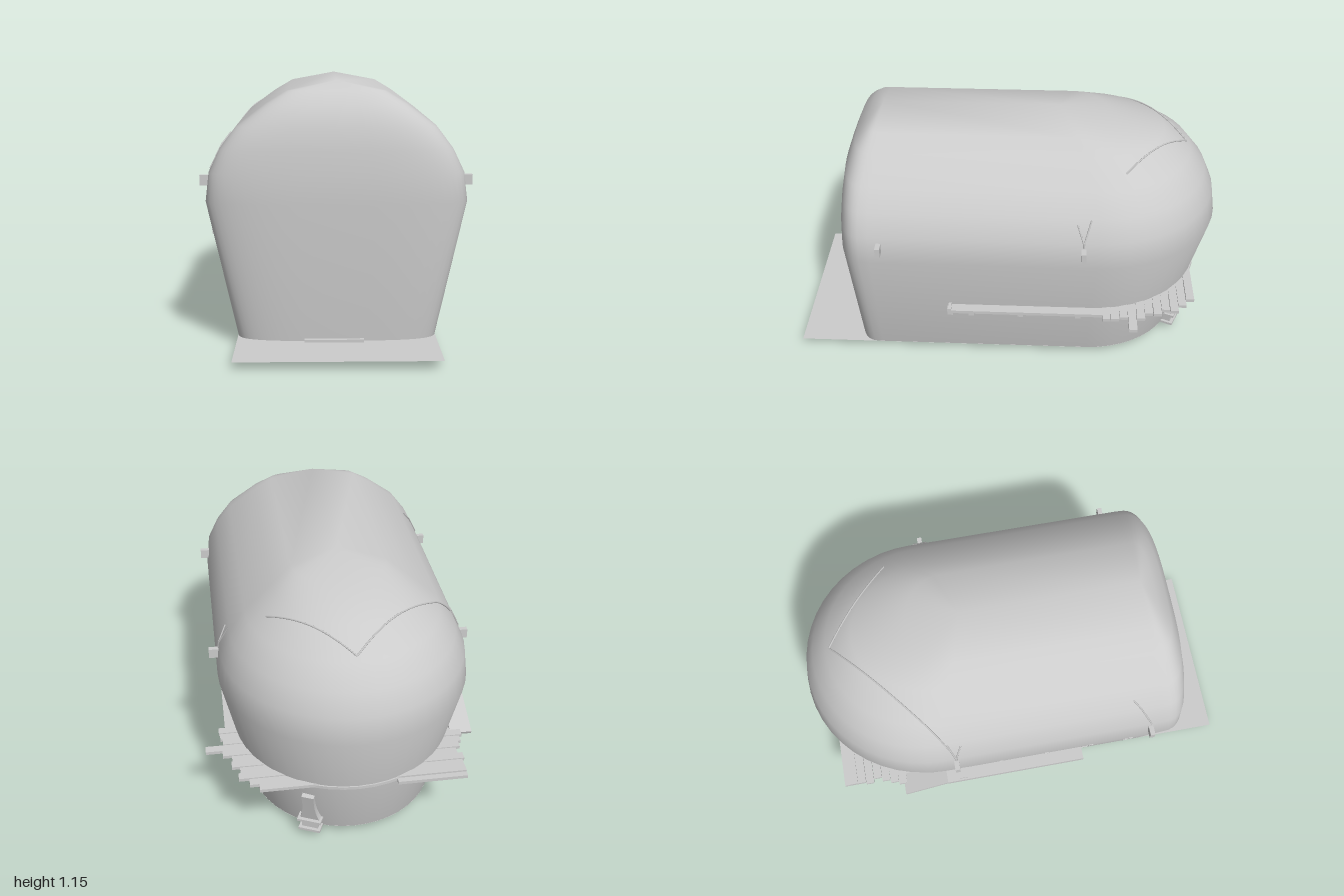
import * as THREE from 'three';
import { toCreasedNormals } from 'three/addons/utils/BufferGeometryUtils.js';

const CX = -0.025;
const mat = new THREE.MeshStandardMaterial({ color: 0xcccccc, side: THREE.DoubleSide });

// Hull levels: y, half width, back end, back arc centre, front end, front arc centre
const LEVELS = [
  [0.035, 0.433, -0.85, -0.40, 0.73, 0.60],
  [0.635, 0.565, -1.0, -0.42, 0.77, 0.60],
  [0.76, 0.55, -0.98, -0.42, 0.765, 0.60],
  [0.86, 0.502, -0.935, -0.42, 0.755, 0.60],
  [0.955, 0.43, -0.86, -0.40, 0.74, 0.59],
  [1.05, 0.303, -0.73, -0.36, 0.70, 0.58],
  [1.105, 0.213, -0.48, -0.30, 0.645, 0.58],
  [1.148, 0, -0.24, -0.24, 0.58, 0.58],
];

function levelAt(y) {
  let i = 0;
  while (i < LEVELS.length - 2 && y > LEVELS[i + 1][0]) i++;
  const a = LEVELS[i], b = LEVELS[i + 1], t = (y - a[0]) / (b[0] - a[0]);
  return a.map((v, k) => v + (b[k] - v) * t);
}

// Plan outline: elliptical back, straight sides, squarish front
function outline([, w, zb, zc, zf, fc], n = 24) {
  const pts = [];
  for (let i = 0; i <= n; i++) {
    const t = Math.PI * i / n;
    pts.push([CX + w * Math.cos(t), zc - (zc - zb) * Math.sin(t)]);
  }
  for (let i = 0; i <= n; i++) {
    const t = Math.PI * i / n, c = -Math.cos(t);
    pts.push([CX + w * Math.sign(c) * Math.abs(c) ** 0.6, fc + (zf - fc) * Math.abs(Math.sin(t)) ** 0.6]);
  }
  return pts;
}

function halfWidthAt(y, z) {
  const [, w, zb, zc, zf, fc] = levelAt(y);
  const u = z < zc ? (zc - z) / (zc - zb) : z > fc ? (z - fc) / (zf - fc) : 0;
  if (u >= 1) return 0;
  return z < zc ? w * Math.sqrt(1 - u * u) : w * (1 - u ** 3.33) ** 0.3;
}

// Roof height over a plan position
function roofY(x, z) {
  let lo = 0.635, hi = 1.147;
  for (let i = 0; i < 24; i++) {
    const m = (lo + hi) / 2;
    if (Math.abs(x - CX) < halfWidthAt(m, z)) lo = m; else hi = m;
  }
  return lo;
}

function hullGeometry() {
  const pos = [], index = [], rows = LEVELS.length;
  let n = 0;
  LEVELS.forEach((l) => {
    const ring = outline(l);
    n = ring.length;
    ring.forEach(([x, z]) => pos.push(x, l[0], z));
  });
  for (let j = 0; j < rows - 1; j++) {
    for (let i = 0; i < n; i++) {
      const a = j * n + i, b = j * n + (i + 1) % n;
      index.push(a, a + n, b, b, a + n, b + n);
    }
  }
  const g = new THREE.BufferGeometry();
  g.setAttribute('position', new THREE.Float32BufferAttribute(pos, 3));
  g.setIndex(index);
  // corner order is flipped so that the faces look outward
  for (let i = 0; i < index.length; i += 3) [index[i], index[i + 1]] = [index[i + 1], index[i]];
  g.setIndex(index);
  return toCreasedNormals(g, 0.75);
}

export function createModel() {
  const root = new THREE.Group();
  const add = (name, geo, x = 0, y = 0, z = 0, parent = root) => {
    const m = new THREE.Mesh(geo, mat);
    m.name = name;
    m.position.set(x, y, z);
    parent.add(m);
    return m;
  };
  const box = (name, x0, x1, y0, y1, z0, z1) => add(name,
    new THREE.BoxGeometry(Math.abs(x1 - x0), y1 - y0, z1 - z0), (x0 + x1) / 2, (y0 + y1) / 2, (z0 + z1) / 2);

  // Domed body, made outward facing
  const hull = hullGeometry();
  const p = hull.attributes.position, nn = hull.attributes.normal;
  let outward = 0;
  for (let i = 0; i < p.count; i++) outward += (p.getX(i) - CX) * nn.getX(i);
  if (outward < 0) {
    hull.scale(-1, 1, 1).translate(2 * CX, 0, 0);
    for (let i = 0; i < nn.count; i++) nn.setXYZ(i, -nn.getX(i), -nn.getY(i), -nn.getZ(i));
  }
  add('domedBody', hull);

  // Floor that runs out to a flat apron at the front
  const back = outline(LEVELS[0]).slice(0, 25).map(([x, z]) => new THREE.Vector2(x, z));
  back.push(new THREE.Vector2(CX - 0.433, 1), new THREE.Vector2(CX + 0.433, 1));
  add('floorAndApron', new THREE.ShapeGeometry(new THREE.Shape(back)).rotateX(Math.PI / 2), 0, 0.034, 0);
  box('doorSill', -0.165, 0.09, 0.03, 0.046, 0.70, 0.75);

  // Hexagonal feet and two small pegs
  for (const [x, z] of [[0.225, 0.25], [0.225, -0.17], [-0.025, -0.46], [-0.295, 0.25]])
    add('foot', new THREE.CylinderGeometry(0.028, 0.025, 0.036, 6).toNonIndexed(), x, 0.018, z);
  for (const [x, z] of [[-0.08, -0.03], [-0.13, 0.14]])
    add('floorPeg', new THREE.CylinderGeometry(0.015, 0.015, 0.036, 6), x, 0.018, z);

  // Rope brackets on both sides
  for (const s of [-1, 1]) for (const z of [0.555, -0.36])
    box('ropeBracket', CX + s * 0.54, CX + s * 0.597, 0.69, 0.735, z - 0.011, z + 0.011);

  // Left walkway with its supports
  box('leftWalkway', 0.44, 0.525, 0.335, 0.35, -0.47, 0.25);
  box('walkwayEnd', 0.44, 0.525, 0.335, 0.36, 0.242, 0.256);
  for (const z of [0.25, 0.15, -0.08, -0.35]) box('walkwaySupport', 0.44, 0.5, 0.302, 0.336, z - 0.013, z + 0.013);
  box('walkwaySupport', 0.2, 0.36, 0.302, 0.336, -0.845, -0.82);

  // Staggered planks round the back
  const leftEnds = [0.40, 0.44, 0.485, 0.475, 0.51, 0.505, 0.545, 0.62, 0.54, 0.55, 0.555];
  leftEnds.forEach((x, i) => {
    const z = -0.88 + i * 0.04, y = i % 2 ? 0.335 : 0.338;
    box('leftPlank', 0.15, x, y, y + 0.015, z - 0.019, z + 0.019);
  });
  [-0.51, -0.51, -0.52, -0.5, -0.52, -0.535, -0.55].forEach((x, i) => {
    const z = -0.88 + i * 0.04, y = i % 2 ? 0.335 : 0.338;
    box('rightPlank', -0.2, x, y, y + 0.015, z - 0.019, z + 0.019);
  });
  box('cornerPlatform', -0.2, -0.51, 0.33, 0.345, -0.925, -0.83);

  // Narrow ledge following the rounded back
  const ledgeLevel = levelAt(0.34);
  const arc = outline(ledgeLevel).slice(0, 25);
  const ledge = new THREE.Shape(arc.map(([x, z], i) => {
    const k = 1 + 0.10 * Math.abs(Math.cos(Math.PI * i / 24));
    return new THREE.Vector2(CX + (x - CX) * k, -(z - 0.008));
  }));
  add('backLedge', new THREE.ExtrudeGeometry(ledge, { depth: 0.014, bevelEnabled: false }).rotateX(-Math.PI / 2), 0, 0.335, 0);

  // Right walkway, higher, reached by a ramp
  box('rightWalkway', -0.605, -0.51, 0.41, 0.435, -0.42, 0.25);
  const ramp = add('ramp', new THREE.BoxGeometry(0.1, 0.016, 0.24), -0.553, 0.38, -0.52);
  ramp.rotation.x = -0.37;
  box('wallPeg', -0.608, -0.53, 0.488, 0.497, -0.36, -0.32);
  for (const z of [0.2, -0.05, -0.3]) box('walkwaySupport', -0.585, -0.5, 0.38, 0.412, z - 0.013, z + 0.013);

  // Small stones set into the right wall
  for (let i = 0; i < 14; i++) {
    const y = 0.16 + (i * 0.137) % 0.42, z = -0.35 + (i * 0.211) % 0.85;
    const x = CX - halfWidthAt(y, z);
    const stone = add('wallStone', new THREE.BoxGeometry(0.006, 0.018, 0.02 + (i % 3) * 0.006), x, y, z);
    stone.rotation.z = 0.217;
  }

  // Flared chute leaning on the back, over a small block
  const chute = new THREE.Group();
  chute.name = 'chute';
  const flare = new THREE.Shape();
  flare.moveTo(-0.05, 0.08);
  flare.quadraticCurveTo(-0.022, 0.14, -0.028, 0.25);
  flare.lineTo(0.028, 0.25);
  flare.quadraticCurveTo(0.022, 0.14, 0.05, 0.08);
  const chuteBody = add('chuteBody', new THREE.ExtrudeGeometry(flare, { depth: 0.03, bevelEnabled: false }), 0, 0, -0.02, chute);
  chuteBody.rotation.x = -0.2;
  add('chuteLip', new THREE.BoxGeometry(0.11, 0.012, 0.06), 0, 0.085, -0.025, chute);
  add('chuteBlock', new THREE.BoxGeometry(0.075, 0.05, 0.05), 0, 0.055, -0.01, chute);
  add('chuteFoot', new THREE.BoxGeometry(0.1, 0.012, 0.07), 0, 0.03, -0.015, chute);
  chute.position.set(0.165, 0.01, -0.81);
  chute.rotation.y = -0.42;
  root.add(chute);

  // Ropes lying on the roof
  const rope = (ax, az, bx, bz) => {
    const pts = [];
    for (let i = 0; i <= 14; i++) {
      const t = i / 14, x = ax + (bx - ax) * t, z = az + (bz - az) * t;
      pts.push(new THREE.Vector3(x, roofY(x, z) + 0.004, z));
    }
    add('roofRope', new THREE.TubeGeometry(new THREE.CatmullRomCurve3(pts), 40, 0.004, 5));
  };
  rope(-0.02, -0.84, -0.55, -0.38);
  rope(-0.02, -0.84, 0.32, -0.54);
  for (const s of [-1, 1]) {
    rope(CX + s * 0.553, -0.36, CX + s * 0.515, -0.33);
    rope(CX + s * 0.553, -0.36, CX + s * 0.505, -0.39);
  }
  rope(-0.575, 0.555, -0.49, 0.47);
  return root;
}
